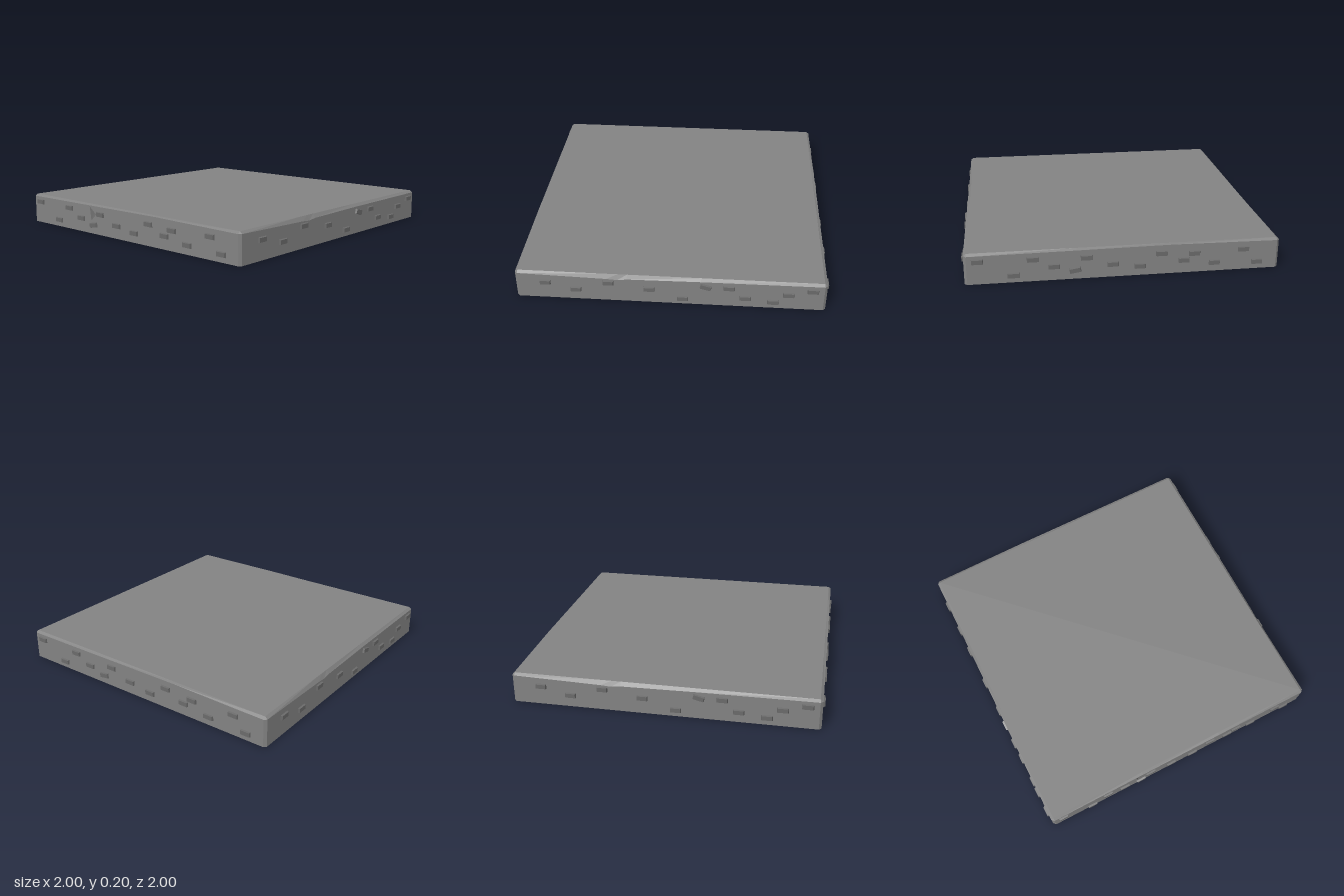
import * as THREE from 'three';

const WALL = 0.988, END = 0.972, TOP = 0.2, INSET = 0.97, EDGE = 0.186, FACE = 1.0;

// Studs as [along the wall, height, tilt]; opposite walls share a layout
const longLayout = [
  [-0.795, 0.126], [-0.6, 0.08], [-0.39, 0.143], [-0.13, 0.107], [0.083, 0.044], [0.23, 0.144, -0.26],
  [0.377, 0.144], [0.48, 0.07], [0.655, 0.049], [0.75, 0.112], [0.9, 0.15],
];
const sideLayout = [
  [-0.905, 0.15], [-0.69, 0.047], [-0.57, 0.146], [-0.44, 0.092], [-0.31, 0.059, 0.15], [-0.24, 0.139],
  [-0.075, 0.086], [0.096, 0.063], [0.23, 0.14], [0.374, 0.086], [0.44, 0.129], [0.57, 0.059],
  [0.756, 0.14], [0.846, 0.049],
];
// Slightly worn line where each wall meets the top bevel
const longEdge = [[-END, EDGE], [-0.4, 0.172], [-0.33, 0.167], [-0.27, 0.175], [0.2, 0.182], [END, EDGE]];
const sideEdge = [[-END, EDGE], [-0.3, 0.19], [0.3, 0.194], [END, EDGE]];

const makeMaterial = color => new THREE.MeshStandardMaterial({
  color, flatShading: true, side: THREE.DoubleSide,
});
const slabMaterial = makeMaterial(0x828282);
const studMaterial = makeMaterial(0x6a6a6a);

function addMesh(parent, name, geometry, material = slabMaterial) {
  const mesh = new THREE.Mesh(geometry, material);
  mesh.name = name;
  parent.add(mesh);
}

// Triangle list from corner points
function fromTriangles(points) {
  const g = new THREE.BufferGeometry();
  g.setAttribute('position', new THREE.Float32BufferAttribute(points.flat(), 3));
  g.computeVertexNormals();
  return g;
}
const quad = (a, b, c, d) => [a, b, c, a, c, d];

// Rectangle corners, counter-clockwise, tilted about the stud centre
function studCorners([u, v, tilt = 0], w, h) {
  const c = Math.cos(tilt), s = Math.sin(tilt);
  return [[-w, -h], [w, -h], [w, h], [-w, h]].map(([x, y]) => [u + x * c - y * s, v + x * s + y * c]);
}

// Tapered shell, open at the back
function studGeometry(stud) {
  const back = studCorners(stud, 0.036, 0.017).map(p => [...p, WALL]);
  const front = studCorners(stud, 0.032, 0.014).map(p => [...p, FACE]);
  const pts = quad(...front);
  for (let i = 0; i < 4; i++) {
    const j = (i + 1) % 4;
    pts.push(...quad(back[i], back[j], front[j], front[i]));
  }
  return fromTriangles(pts);
}

function buildSide(name, studs, edge, chip) {
  const side = new THREE.Group();
  side.name = name;

  // Wall sheet, opened behind every stud
  const outline = [[-END, 0], [END, 0], ...[...edge].reverse()];
  const toVectors = list => list.map(p => new THREE.Vector2(...p));
  const shape = new THREE.Shape(toVectors(outline));
  for (const s of studs) shape.holes.push(new THREE.Path(toVectors(studCorners(s, 0.036, 0.017).reverse())));
  if (chip) shape.holes.push(new THREE.Path(toVectors([...chip].reverse())));
  addMesh(side, 'wall', new THREE.ShapeGeometry(shape).translate(0, 0, WALL));

  studs.forEach(s => addMesh(side, 'stud', studGeometry(s), studMaterial));

  // Narrow bevel up to the top
  const bevel = [];
  for (let i = 0; i < edge.length - 1; i++) {
    const [a, b] = [edge[i], edge[i + 1]];
    bevel.push(...quad([...a, WALL], [...b, WALL],
      [b[0] * INSET / END, TOP, INSET], [a[0] * INSET / END, TOP, INSET]));
  }
  addMesh(side, 'topBevel', fromTriangles(bevel));

  // Chamfered vertical corner
  const a = [END, EDGE, WALL], b = [WALL, EDGE, END];
  addMesh(side, 'corner', fromTriangles([
    ...quad([END, 0, WALL], [WALL, 0, END], b, a), a, b, [INSET, TOP, INSET],
  ]));

  // Small sunken chip
  if (chip) {
    const tip = [-0.325, 0.15, INSET - 0.005];
    const ring = chip.map(p => [...p, WALL]);
    addMesh(side, 'chip', fromTriangles(ring.flatMap((p, i) => [p, ring[(i + 1) % 3], tip])), studMaterial);
  }
  return side;
}

export function createModel() {
  const model = new THREE.Group();
  model.name = 'slab';

  ['frontSide', 'leftSide', 'backSide', 'rightSide'].forEach((name, i) => {
    const long = i % 2 === 0;
    const chip = i === 3 ? [[-0.335, 0.088], [-0.285, 0.135], [-0.35, 0.183]] : null;
    const side = buildSide(name, long ? longLayout : sideLayout, long ? longEdge : sideEdge, chip);
    side.rotation.y = i * Math.PI / 2;
    model.add(side);
  });

  // Flat top sheet; the underside is open
  const top = new THREE.PlaneGeometry(INSET * 2, INSET * 2).rotateX(-Math.PI / 2).translate(0, TOP, 0);
  addMesh(model, 'top', top);
  return model;
}
